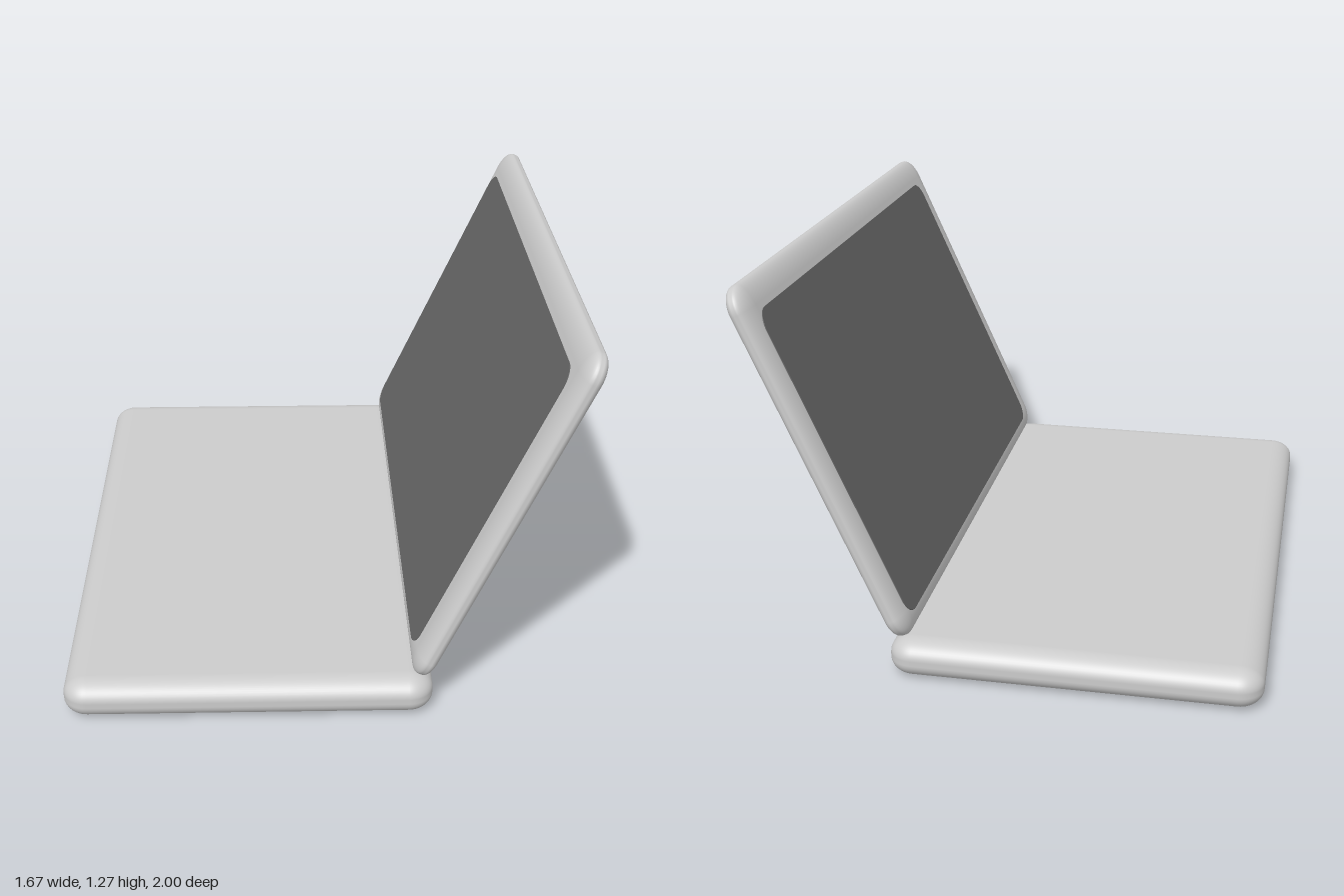
import * as THREE from 'three';
import { RoundedBoxGeometry } from 'three/addons/geometries/RoundedBoxGeometry.js';

const grey = new THREE.MeshStandardMaterial({ color: 0xcccccc });
const dark = new THREE.MeshStandardMaterial({ color: 0x666666 });

// Rounded slab whose edges are softer across its face than through its thickness
function slab(name, size, thinAxis, radius, squash) {
  const s = { ...size };
  s[thinAxis] *= squash;
  const mesh = new THREE.Mesh(new RoundedBoxGeometry(s.x, s.y, s.z, 6, radius), grey);
  mesh.scale[thinAxis] = 1 / squash;
  mesh.name = name;
  return mesh;
}

function roundedRect(w, h, r) {
  const x = w / 2, y = h / 2, s = new THREE.Shape();
  s.absarc(x - r, y - r, r, 0, Math.PI / 2);
  s.absarc(-x + r, y - r, r, Math.PI / 2, Math.PI);
  s.absarc(-x + r, -y + r, r, Math.PI, Math.PI * 1.5);
  s.absarc(x - r, -y + r, r, Math.PI * 1.5, Math.PI * 2);
  return s;
}

export function createModel() {
  const model = new THREE.Group();
  model.name = 'laptop';

  // Keyboard half lying flat
  const base = slab('base', { x: 1.2, y: 0.13, z: 2 }, 'y', 0.08, 1.4);
  base.position.set(-0.24, 0.065, 0);
  model.add(base);

  // Lid leaning back from the rear edge of the base
  const lid = new THREE.Group();
  lid.name = 'lid';
  lid.position.set(0.562, 0.695, 0);
  lid.rotation.z = THREE.MathUtils.degToRad(-24);
  lid.add(slab('lidShell', { x: 0.077, y: 1.245, z: 1.97 }, 'x', 0.08, 2.4));

  // Dark display panel on the inner face of the lid
  const panel = new THREE.ExtrudeGeometry(roundedRect(1.8, 1.09, 0.06), {
    depth: 0.01, bevelEnabled: false, curveSegments: 8,
  });
  panel.rotateY(-Math.PI / 2);
  const screen = new THREE.Mesh(panel, dark);
  screen.name = 'screen';
  screen.position.set(-0.031, -0.023, -0.02);
  lid.add(screen);

  model.add(lid);
  return model;
}
